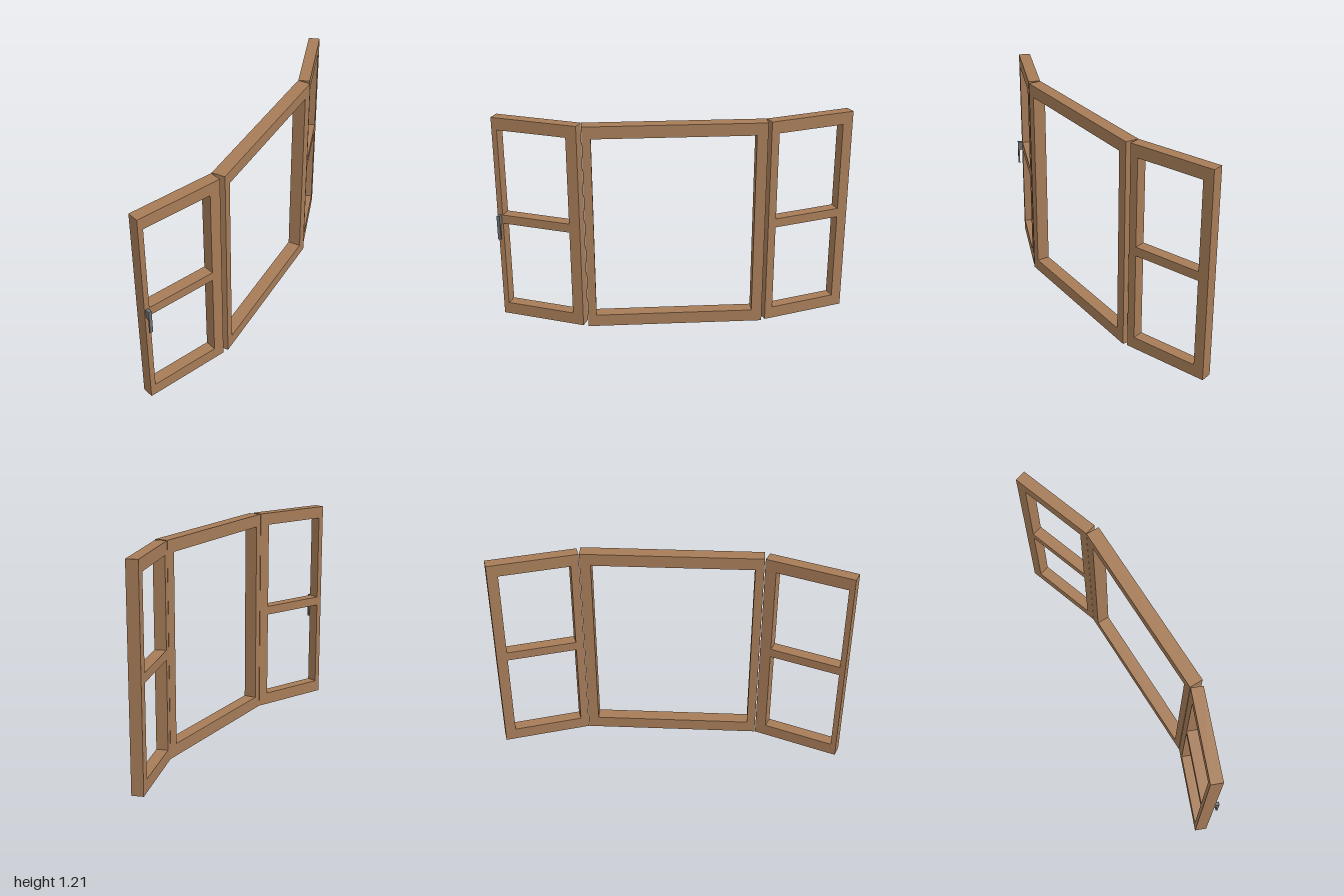
import * as THREE from 'three';

const HEIGHT = 1.205, RAIL = 0.07;

// Closed rectangle from corner to corner
function rect(path, x0, y0, x1, y1) {
  path.moveTo(x0, y0);
  path.lineTo(x1, y0);
  path.lineTo(x1, y1);
  path.lineTo(x0, y1);
  path.closePath();
  return path;
}

// Frame from x0 to x1 with given stile widths; panes lists [bottom, top] of each opening
function frame(name, x0, x1, stile0, stile1, depth, panes, material) {
  const shape = rect(new THREE.Shape(), x0, 0, x1, HEIGHT);
  for (const [y0, y1] of panes) {
    shape.holes.push(rect(new THREE.Path(), x0 + stile0, y0, x1 - stile1, y1));
  }
  const geometry = new THREE.ExtrudeGeometry(shape, { depth, bevelEnabled: false });
  const mesh = new THREE.Mesh(geometry, material);
  mesh.name = name;
  return mesh;
}

export function createModel() {
  const wood = new THREE.MeshStandardMaterial({ color: 0xa67c58 });
  wood.name = 'wood';
  const metal = new THREE.MeshStandardMaterial({ color: 0x707070 });
  metal.name = 'grey metal';

  const model = new THREE.Group();
  model.name = 'bayWindow';
  const top = HEIGHT - RAIL;
  const onePane = [[RAIL, top]];
  const twoPanes = [[RAIL, 0.578], [0.63, top]];

  // Each section pivots about its inner corner, with its outer face along local +z
  function section(name, x, z, degrees, mesh) {
    const group = new THREE.Group();
    group.name = name;
    group.position.set(x, 0, z);
    group.rotation.y = THREE.MathUtils.degToRad(degrees);
    group.add(mesh);
    model.add(group);
    return group;
  }

  // Wide fixed window in the middle
  section('centreWindow', 0.055, 0, 90,
    frame('centreFrame', -0.5, 0.5, 0.048, 0.06, 0.075, onePane, wood));

  // Angled side windows
  section('rearWindow', 0.055, -0.502, 108,
    frame('rearFrame', 0, 0.5, 0.046, 0.06, 0.065, twoPanes, wood));
  const front = section('frontWindow', 0.055, 0.504, 68,
    frame('frontFrame', -0.5, 0, 0.031, 0.063, 0.067, twoPanes, wood));

  // Handle on the outer stile of the front window
  const handle = new THREE.Group();
  handle.name = 'handle';
  handle.position.set(-0.485, 0, 0.067);
  const mount = new THREE.Mesh(new THREE.BoxGeometry(0.018, 0.054, 0.018), metal);
  mount.name = 'handleMount';
  mount.position.set(0, 0.603, 0.009);
  const lever = new THREE.Mesh(new THREE.BoxGeometry(0.018, 0.142, 0.01), metal);
  lever.name = 'handleLever';
  lever.position.set(0, 0.559, 0.023);
  handle.add(mount, lever);
  front.add(handle);

  return model;
}
